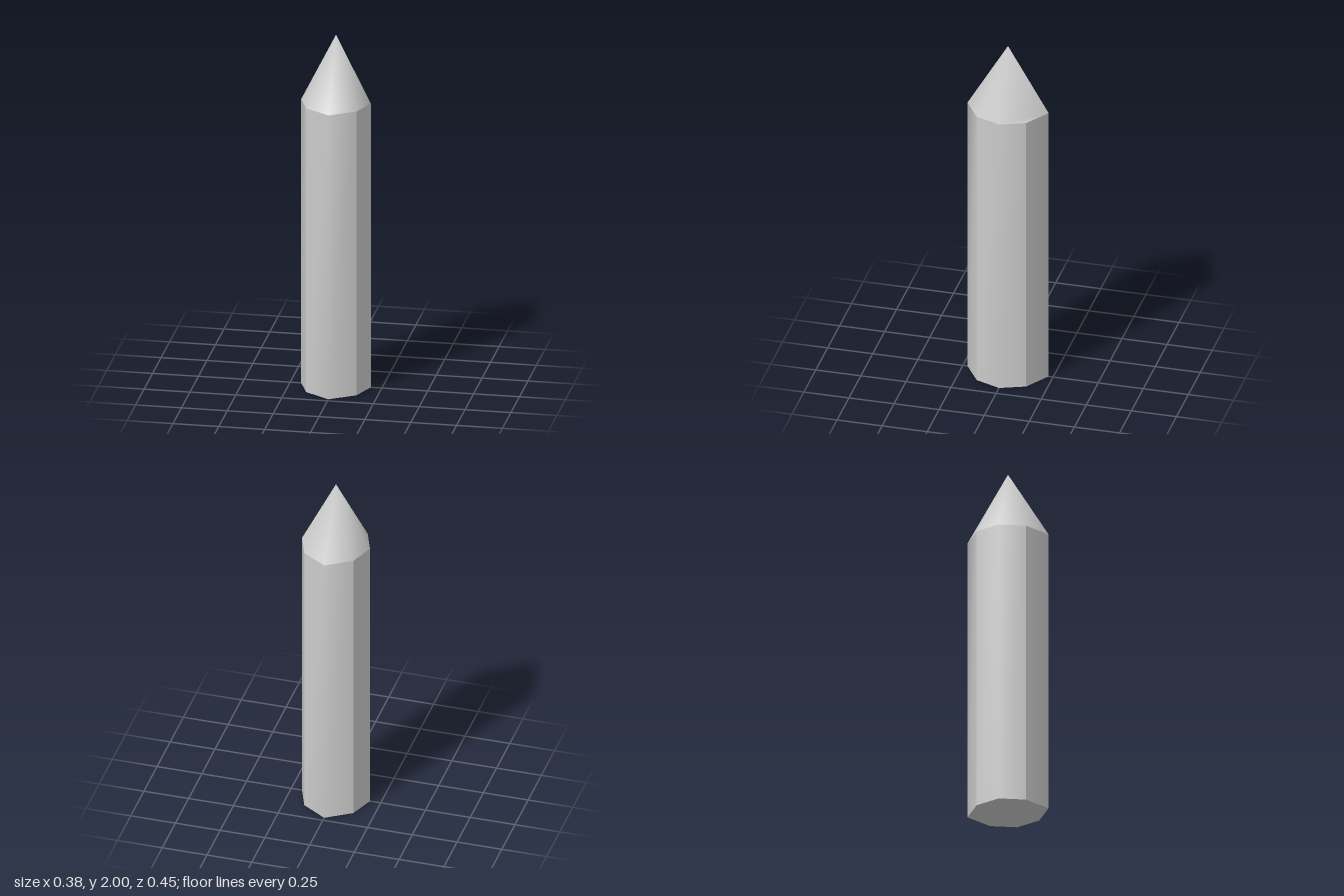
import * as THREE from 'three';

const SHOULDER = 1.62, TIP = 2;
// Eight-sided outline [x, z], counterclockwise from above, starting at the front
const RING = [
  [0, 0.225], [0.137, 0.137], [0.19, 0], [0.137, -0.137],
  [0, -0.225], [-0.137, -0.137], [-0.19, 0], [-0.137, 0.137],
];
const at = (i, y) => [RING[i % 8][0], y, RING[i % 8][1]];

function makeMesh(name, points, faces) {
  const geometry = new THREE.BufferGeometry();
  geometry.setAttribute('position', new THREE.Float32BufferAttribute(points.flat(), 3));
  geometry.setIndex(faces.flat());
  geometry.computeVertexNormals();
  const material = new THREE.MeshStandardMaterial({ color: 0xcccccc, side: THREE.DoubleSide });
  const mesh = new THREE.Mesh(geometry, material);
  mesh.name = name;
  return mesh;
}

export function createModel() {
  const model = new THREE.Group();
  model.name = 'pointedPost';

  // Shaft: four panels, each smooth across its middle ridge, with sharp corners between them
  const shaft = new THREE.Group();
  shaft.name = 'shaft';
  for (let i = 1; i < 8; i += 2) {
    const points = [];
    for (let k = 0; k < 3; k++) points.push(at(i + k, 0), at(i + k, SHOULDER));
    shaft.add(makeMesh('shaftPanel', points, [[0, 2, 3], [0, 3, 1], [2, 4, 5], [2, 5, 3]]));
  }
  model.add(shaft);

  // Flat underside
  const base = RING.map((_, i) => at(i, 0));
  const baseFaces = [];
  for (let i = 1; i < 7; i++) baseFaces.push([0, i + 1, i]);
  model.add(makeMesh('base', base, baseFaces));

  // Smooth point; the back corner at +x is folded into a small ledge
  const tip = [...RING.map((_, i) => at(i, SHOULDER)), [0, TIP, 0]];
  const tipFaces = [];
  for (let i = 0; i < 8; i += 2) {
    const a = i, b = i + 1, c = (i + 2) % 8;
    if (i === 2) tipFaces.push([a, c, 8], [a, b, c]);
    else tipFaces.push([a, b, 8], [b, c, 8]);
  }
  model.add(makeMesh('point', tip, tipFaces));

  return model;
}
